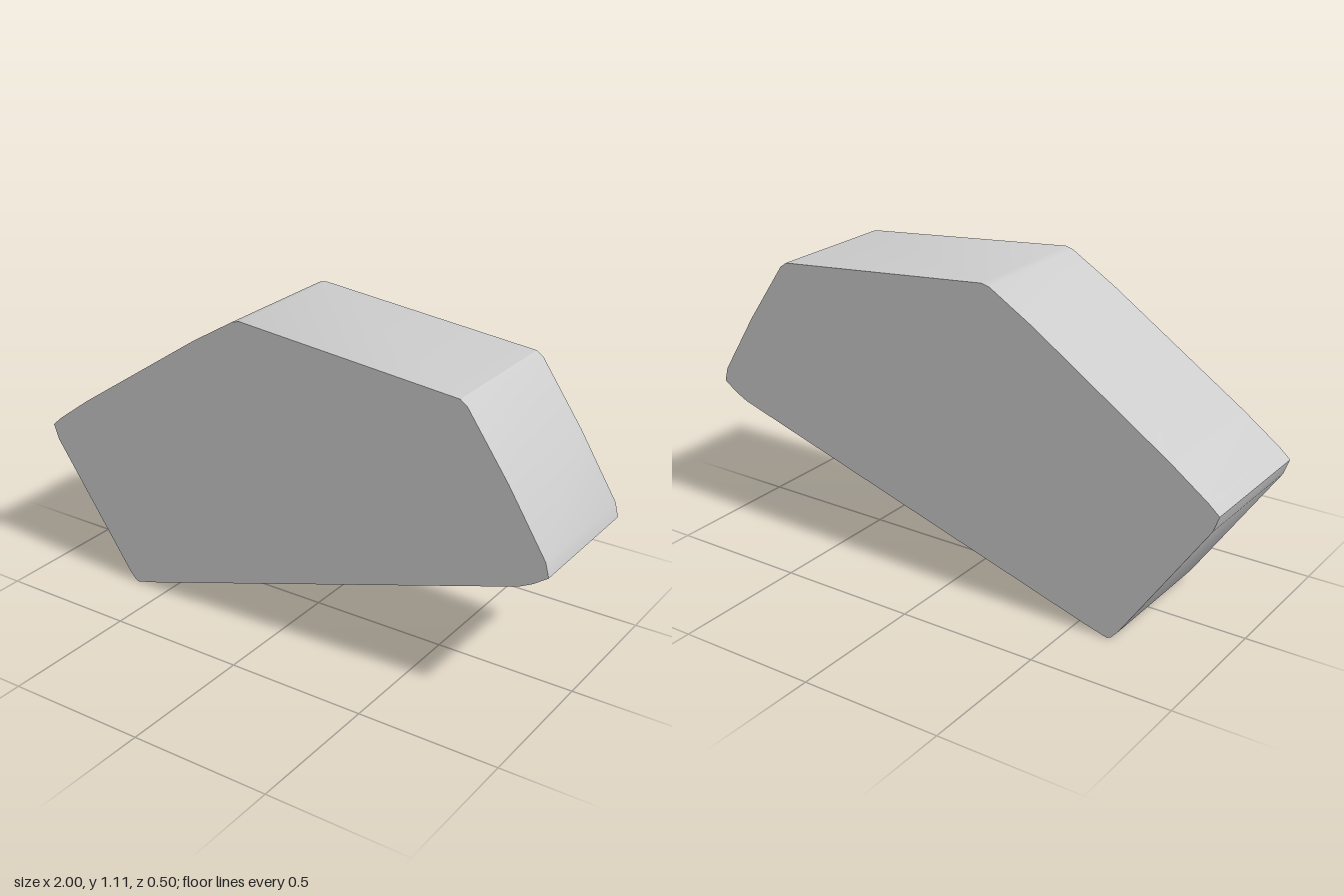
import * as THREE from 'three';
import { toCreasedNormals } from 'three/addons/utils/BufferGeometryUtils.js';

// Outline of the slab, counter-clockwise from the lowest corner
const OUTLINE = [
  [-0.63, 0], [-0.54, 0.025], [0.9, 0.47], [0.95, 0.495],
  [1, 0.53], [0.987, 0.58], [0.85, 0.8], [0.7, 1.015],
  [0.675, 1.033], [-0.14, 1.11], [-0.168, 1.103], [-0.33, 1.005],
  [-0.83, 0.67], [-0.96, 0.575], [-1, 0.54], [-0.98, 0.485],
  [-0.67, 0.035], [-0.645, 0.007],
];
const BACK_Z = -0.25;

export function createModel() {
  const group = new THREE.Group();
  group.name = 'model';

  const shape = new THREE.Shape(OUTLINE.map(([x, y]) => new THREE.Vector2(x, y)));
  const geometry = new THREE.ExtrudeGeometry(shape, { depth: 0.5, bevelEnabled: false });
  geometry.translate(0, 0, BACK_Z);

  // The front face leans back very slightly towards +x
  const pos = geometry.attributes.position;
  for (let i = 0; i < pos.count; i++) {
    if (pos.getZ(i) > 0) pos.setZ(i, 0.245 - 0.005 * pos.getX(i));
  }

  // Soft bends along the rim, sharp edges at the faces and main corners
  const slab = new THREE.Mesh(
    toCreasedNormals(geometry, 0.5),
    new THREE.MeshStandardMaterial({ color: 0xcccccc }),
  );
  slab.name = 'slab';
  group.add(slab);
  return group;
}
